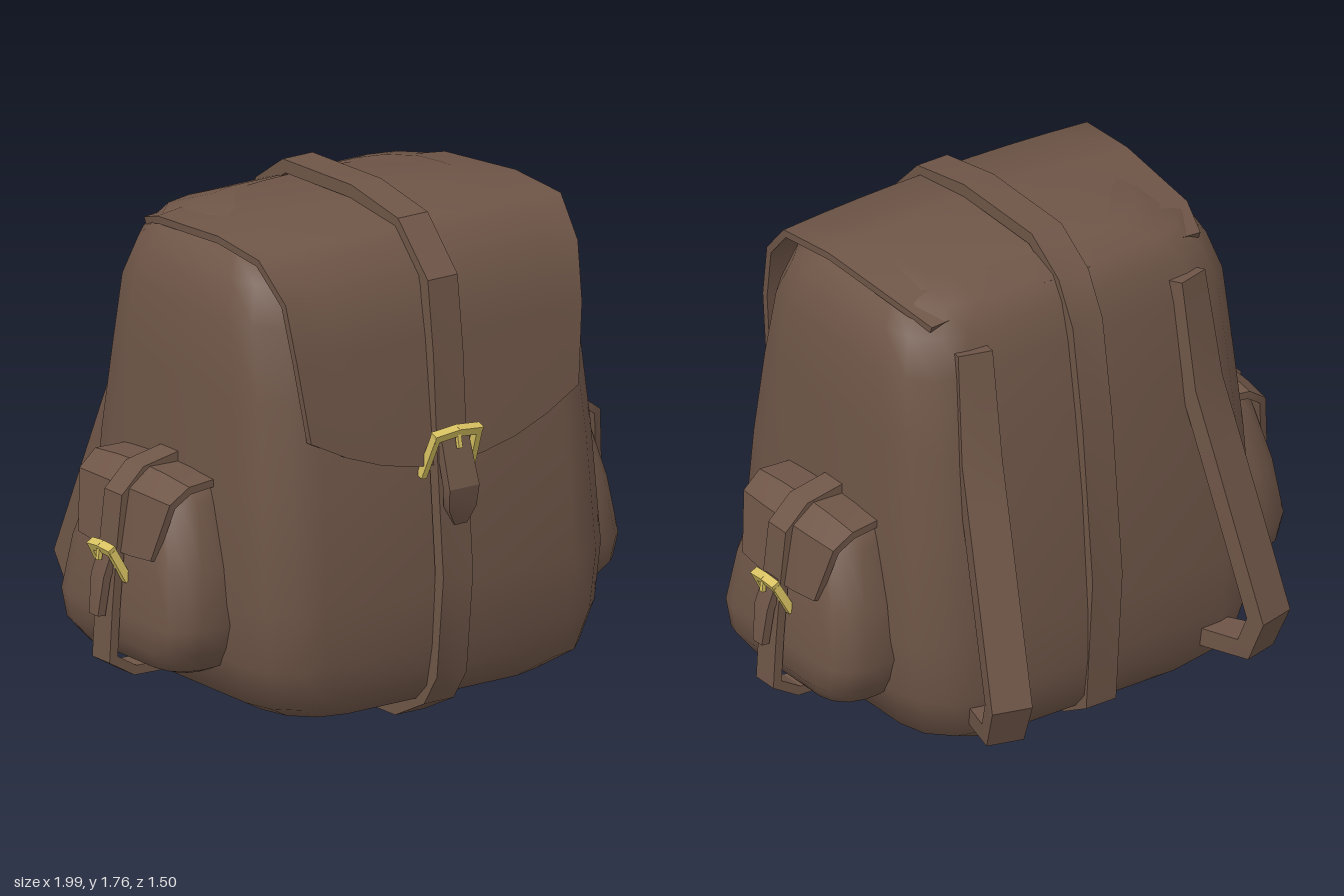
import * as THREE from 'three';
import { toCreasedNormals } from 'three/addons/utils/BufferGeometryUtils.js';

const leather = new THREE.MeshStandardMaterial({ color: 0x6e5547 });
leather.name = 'brown leather';
const brass = new THREE.MeshStandardMaterial({ color: 0xd6c060 });
brass.name = 'brass';

// Skin a list of equal-length rings; open skins get end caps.
function skin(rings, closed, crease) {
  const n = rings[0].length, pos = [], idx = [];
  rings.forEach(r => r.forEach(p => pos.push(p.x, p.y, p.z)));
  const rows = closed ? rings.length : rings.length - 1;
  for (let i = 0; i < rows; i++) {
    for (let j = 0; j < n; j++) {
      const k = (j + 1) % n, e = ((i + 1) % rings.length) * n;
      const a = i * n + j, b = i * n + k, c = e + k, d = e + j;
      idx.push(a, b, d, b, c, d);
    }
  }
  if (!closed) {
    [0, rings.length - 1].forEach((row, end) => {
      const mid = new THREE.Vector3();
      rings[row].forEach(p => mid.addScaledVector(p, 1 / n));
      const m = pos.length / 3;
      pos.push(mid.x, mid.y, mid.z);
      for (let j = 0; j < n; j++) {
        const a = row * n + j, b = row * n + (j + 1) % n;
        if (end) idx.push(a, b, m); else idx.push(b, a, m);
      }
    });
  }
  const geo = new THREE.BufferGeometry();
  geo.setAttribute('position', new THREE.Float32BufferAttribute(pos, 3));
  geo.setIndex(idx);
  return toCreasedNormals(geo, crease);
}

// Soft bag: stacked rounded rectangles given as [y, halfWidth, back, front].
function bag(levels, radius) {
  const rings = levels.map(([y, w, zb, zf]) => {
    const r = Math.min(radius, w * 0.6, (zf - zb) * 0.4);
    const ring = [];
    const corners = [[1, 1], [1, -1], [-1, -1], [-1, 1]];
    corners.forEach(([sx, sz], c) => {
      for (let s = 0; s <= 3; s++) {
        const a = (c + s / 3) * Math.PI / 2;
        ring.push(new THREE.Vector3(sx * (w - r) + r * Math.sin(a), y,
          (sz > 0 ? zf - r : zb + r) + r * Math.cos(a)));
      }
    });
    return ring;
  });
  return skin(rings, false, 1.2);
}

// Flat band following points [x, y, z, halfWidth, sag]; sag lowers the side edges
// and dip curves the last edge down.
function band(path, thick, { closed = false, cols = 1, dip = 0, crease = 0.5 } = {}) {
  const X = new THREE.Vector3(1, 0, 0), N = path.length;
  const flat = path.map(p => new THREE.Vector3(0, p[1], p[2]));
  const dir = (i, j) => flat[(j + N) % N].clone().sub(flat[(i + N) % N]).normalize();
  const rings = path.map(([x, y, z, width, sag = 0], i) => {
    const d0 = !closed && i === 0 ? dir(0, 1) : dir(i - 1, i);
    const d1 = !closed && i === N - 1 ? d0 : dir(i, i + 1);
    const t = d0.clone().add(d1).normalize();
    const normal = t.clone().cross(X);
    const half = thick / 2 / Math.max(0.6, t.dot(d0));
    const ring = [];
    for (const side of [1, -1]) {
      for (let c = 0; c <= cols; c++) {
        const u = side * (1 - 2 * c / cols);
        const v = new THREE.Vector3(x + u * width, y, z);
        v.addScaledVector(normal, side * half - sag * u * u);
        if (i === N - 1) v.addScaledVector(t, dip * (1 - u * u));
        ring.push(v);
      }
    }
    return ring;
  });
  return skin(rings, closed, crease);
}

function add(parent, name, geo, mat = leather) {
  const mesh = new THREE.Mesh(geo, mat);
  mesh.name = name;
  parent.add(mesh);
  return mesh;
}

// Horseshoe buckle with a peaked bar, two splayed legs and a pin.
function buckle(width, height) {
  const g = new THREE.Group();
  g.name = 'buckle';
  for (const s of [-1, 1]) {
    const bar = add(g, 'buckleBar', new THREE.BoxGeometry(width / 2 + 0.01, 0.028, 0.03), brass);
    bar.position.set(s * width / 4, height / 2 - 0.005, 0);
    bar.rotation.z = -s * 0.12;
    const leg = add(g, 'buckleLeg', new THREE.BoxGeometry(0.022, height, 0.028), brass);
    leg.position.set(s * width / 2, -0.01, 0);
    leg.rotation.z = s * 0.08;
  }
  const pin = add(g, 'bucklePin', new THREE.BoxGeometry(0.015, height * 0.3, 0.015), brass);
  pin.position.set(0, height * 0.33, 0.02);
  pin.rotation.x = -0.6;
  return g;
}

// Side pocket, modelled facing +z with its own flap, strap and buckle.
function sidePocket() {
  const g = new THREE.Group();
  add(g, 'pocketBag', bag([
    [0.235, 0.2, 0.6, 0.79], [0.27, 0.28, 0.6, 0.87], [0.34, 0.325, 0.6, 0.92],
    [0.43, 0.355, 0.6, 0.92], [0.62, 0.32, 0.6, 0.9], [0.82, 0.255, 0.6, 0.86],
    [0.89, 0.22, 0.6, 0.8],
  ], 0.11));
  add(g, 'pocketFlap', band([
    [0, 0.9, 0.64, 0.24, 0.01], [0, 0.905, 0.8, 0.26, 0.02],
    [0, 0.85, 0.875, 0.25, 0.02], [0, 0.65, 0.908, 0.2, 0.01],
  ], 0.025, { cols: 4, dip: 0.01 }));
  add(g, 'pocketStrap', band([
    [0, 0.935, 0.66, 0.048], [0, 0.905, 0.82, 0.048], [0, 0.83, 0.9, 0.048],
    [0, 0.66, 0.92, 0.048], [0, 0.45, 0.938, 0.048], [0, 0.28, 0.948, 0.048],
    [0, 0.228, 0.86, 0.048], [0, 0.222, 0.66, 0.048],
  ], 0.032));
  add(g, 'pocketStrapTail', band([
    [0, 0.66, 0.925, 0.035], [0, 0.56, 0.965, 0.035], [0, 0.43, 0.98, 0.025],
  ], 0.03));
  const b = buckle(0.11, 0.12);
  b.position.set(0, 0.61, 0.935);
  b.rotation.x = 0.5;
  g.add(b);
  return g;
}

export function createModel() {
  const model = new THREE.Group();
  model.name = 'backpack';

  // Main bag
  add(model, 'mainBag', bag([
    [0.055, 0.4, -0.33, 0.44], [0.1, 0.54, -0.42, 0.56], [0.16, 0.65, -0.47, 0.62],
    [0.3, 0.69, -0.49, 0.65], [0.5, 0.705, -0.49, 0.665], [0.9, 0.69, -0.46, 0.63],
    [1.2, 0.675, -0.42, 0.59], [1.45, 0.665, -0.38, 0.54], [1.58, 0.625, -0.345, 0.5],
    [1.66, 0.56, -0.295, 0.42], [1.695, 0.45, -0.2, 0.3],
  ], 0.2));

  // Top flap hanging over the front, its back edge tucked into the bag
  add(model, 'topFlap', band([
    [0, 1.635, -0.3, 0.54, 0.03], [0, 1.69, -0.17, 0.58, 0.04], [0, 1.71, 0.2, 0.6, 0.03],
    [0, 1.68, 0.44, 0.61, 0.02], [0, 1.55, 0.565, 0.59, 0.02],
    [0, 1.35, 0.6, 0.575, 0.01], [0, 1.08, 0.63, 0.54, 0.01],
  ], 0.025, { cols: 8, dip: 0.16, crease: 0.8 }));

  // Strap running all the way round the bag, [y, z]
  const loop = [
    [1.745, 0.2], [1.735, -0.17], [1.64, -0.31], [1.5, -0.385], [1.15, -0.44],
    [0.6, -0.495], [0.13, -0.46], [0.07, -0.35], [0.03, -0.16], [0.035, 0.44],
    [0.11, 0.59], [0.21, 0.655], [0.55, 0.69], [0.98, 0.655], [1.3, 0.635],
    [1.54, 0.605], [1.7, 0.45],
  ];
  add(model, 'centreStrap', band(loop.map(([y, z]) => [-0.005, y, z, 0.06]), 0.045, { closed: true }));
  add(model, 'centreStrapTail', band([
    [0, 1.02, 0.67, 0.055], [-0.005, 0.86, 0.73, 0.06], [0, 0.79, 0.715, 0.055], [0.01, 0.73, 0.69, 0.025],
  ], 0.035));
  const front = buckle(0.18, 0.16);
  front.position.set(0, 0.97, 0.67);
  front.rotation.x = 0.4;
  model.add(front);

  for (const s of [1, -1]) {
    const side = s > 0 ? 'left' : 'right';

    // Shoulder strap on the back, swung outwards from its top anchor
    const strap = add(model, side + 'ShoulderStrap', band([
      [0, 1.53, 0, 0.06], [0, 1.15, -0.065, 0.07], [0, 0.92, -0.15, 0.07],
      [0, 0.38, -0.345, 0.07], [0, 0.255, -0.29, 0.065], [0, 0.225, -0.05, 0.05],
    ], 0.065));
    strap.position.set(s * 0.43, 0, -0.365);
    strap.rotation.y = -s * 0.27;

    // Side pocket
    const pocket = sidePocket();
    pocket.name = side + 'Pocket';
    pocket.rotation.y = s * Math.PI / 2;
    pocket.position.z = 0.05;
    model.add(pocket);
  }
  return model;
}
